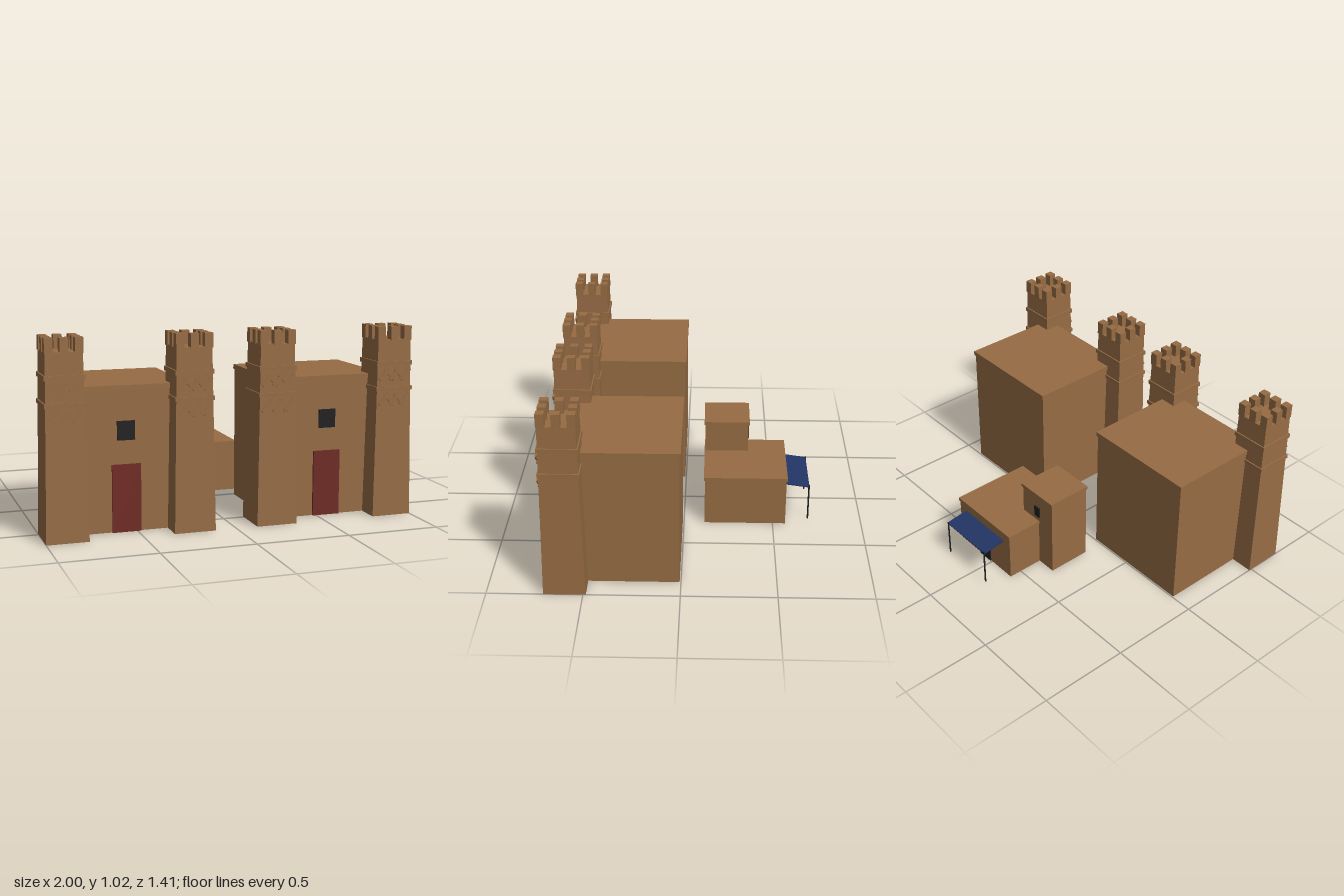
import * as THREE from 'three';

const flat = (name, color) => {
  const m = new THREE.MeshStandardMaterial({ color, flatShading: true });
  m.name = name;
  return m;
};

export function createModel() {
  const clay = flat('clay', 0x966c44);
  const doorRed = flat('doorRed', 0x702b25);
  const dark = flat('dark', 0x202020);
  const blue = flat('awningBlue', 0x233566);

  const model = new THREE.Group();
  model.name = 'adobeFort';

  // Box given by its minimum and maximum on each axis
  const box = (parent, name, mat, x0, x1, y0, y1, z0, z1) => {
    const mesh = new THREE.Mesh(new THREE.BoxGeometry(x1 - x0, y1 - y0, z1 - z0), mat);
    mesh.position.set((x0 + x1) / 2, (y0 + y1) / 2, (z0 + z1) / 2);
    mesh.name = name;
    parent.add(mesh);
    return mesh;
  };
  const group = (name) => {
    const g = new THREE.Group();
    g.name = name;
    model.add(g);
    return g;
  };

  // Tapered corner tower with bands, zigzag ornament and battlements
  const addTower = (name, x, z) => {
    const g = group(name);
    g.position.set(x, 0, z);
    const shaftGeo = new THREE.CylinderGeometry(0.094 * Math.SQRT2, 0.11 * Math.SQRT2, 0.955, 4);
    shaftGeo.rotateY(Math.PI / 4);
    const shaft = new THREE.Mesh(shaftGeo, clay);
    shaft.position.y = 0.4775;
    shaft.name = 'towerShaft';
    g.add(shaft);

    for (const [y0, y1, h] of [[0.682, 0.704, 0.105], [0.817, 0.841, 0.103]])
      box(g, 'towerBand', clay, -h, h, y0, y1, -h, h);

    for (const y of [0.637, 0.77])
      for (let i = 0; i < 5; i++) {
        const bx = (i - 2) * 0.03;
        const bar = box(g, 'zigzagBar', clay, bx - 0.04, bx + 0.04, y - 0.009, y + 0.009, 0.104, 0.11);
        bar.rotation.z = (i % 2 ? -1 : 1) * Math.PI / 4;
      }

    for (let i = -1; i <= 1; i++)
      for (let j = -1; j <= 1; j++) {
        if (!i && !j) continue;
        const cx = i * 0.076, cz = j * 0.076, h = 0.0215;
        box(g, 'merlon', clay, cx - h, cx + h, 0.95, 1.025, cz - h, cz + h);
      }
  };

  // Two matching front halls, each between a pair of towers
  for (const s of [-1, 1]) {
    const side = s < 0 ? 'right' : 'left';
    const c = s * 0.556;
    const hall = group(side + 'Hall');
    box(hall, 'hallWalls', clay, c - 0.319, c + 0.319, 0, 0.738, 0.007, 0.577);
    box(hall, 'hallRoof', clay, c - 0.325, c + 0.325, 0.737, 0.763, 0, 0.584);
    box(hall, 'hallDoor', doorRed, c - 0.076, c + 0.076, 0, 0.355, 0.576, 0.588);
    box(hall, 'hallWindow', dark, c - 0.047, c + 0.047, 0.48, 0.58, 0.576, 0.585);
    addTower(side + 'OuterTower', s * 0.89, 0.595);
    addTower(side + 'InnerTower', s * 0.225, 0.595);
  }

  // Small rear house
  const house = group('rearHouse');
  box(house, 'houseWalls', clay, -0.169, 0.284, 0, 0.273, -0.571, -0.116);
  box(house, 'houseRoof', clay, -0.174, 0.289, 0.272, 0.291, -0.577, -0.111);
  box(house, 'houseDoor', dark, 0.011, 0.105, 0, 0.207, -0.577, -0.569);

  // Taller annex beside it
  box(house, 'annexWalls', clay, -0.283, -0.035, 0, 0.46, -0.362, -0.115);
  box(house, 'annexRoof', clay, -0.288, -0.029, 0.459, 0.477, -0.369, -0.11);
  box(house, 'annexWindow', dark, -0.18, -0.138, 0.322, 0.385, -0.369, -0.361);

  // Sloping awning on two posts
  const awning = new THREE.Mesh(new THREE.BoxGeometry(0.347, 0.006, 0.136), blue);
  awning.position.set(0.058, 0.217, -0.636);
  awning.rotation.x = -0.14;
  awning.name = 'awning';
  house.add(awning);
  for (const x of [-0.108, 0.224]) {
    const post = new THREE.Mesh(new THREE.CylinderGeometry(0.0045, 0.0045, 0.217, 8), dark);
    post.position.set(x, 0.1085, -0.702);
    post.name = 'awningPost';
    house.add(post);
  }

  return model;
}
